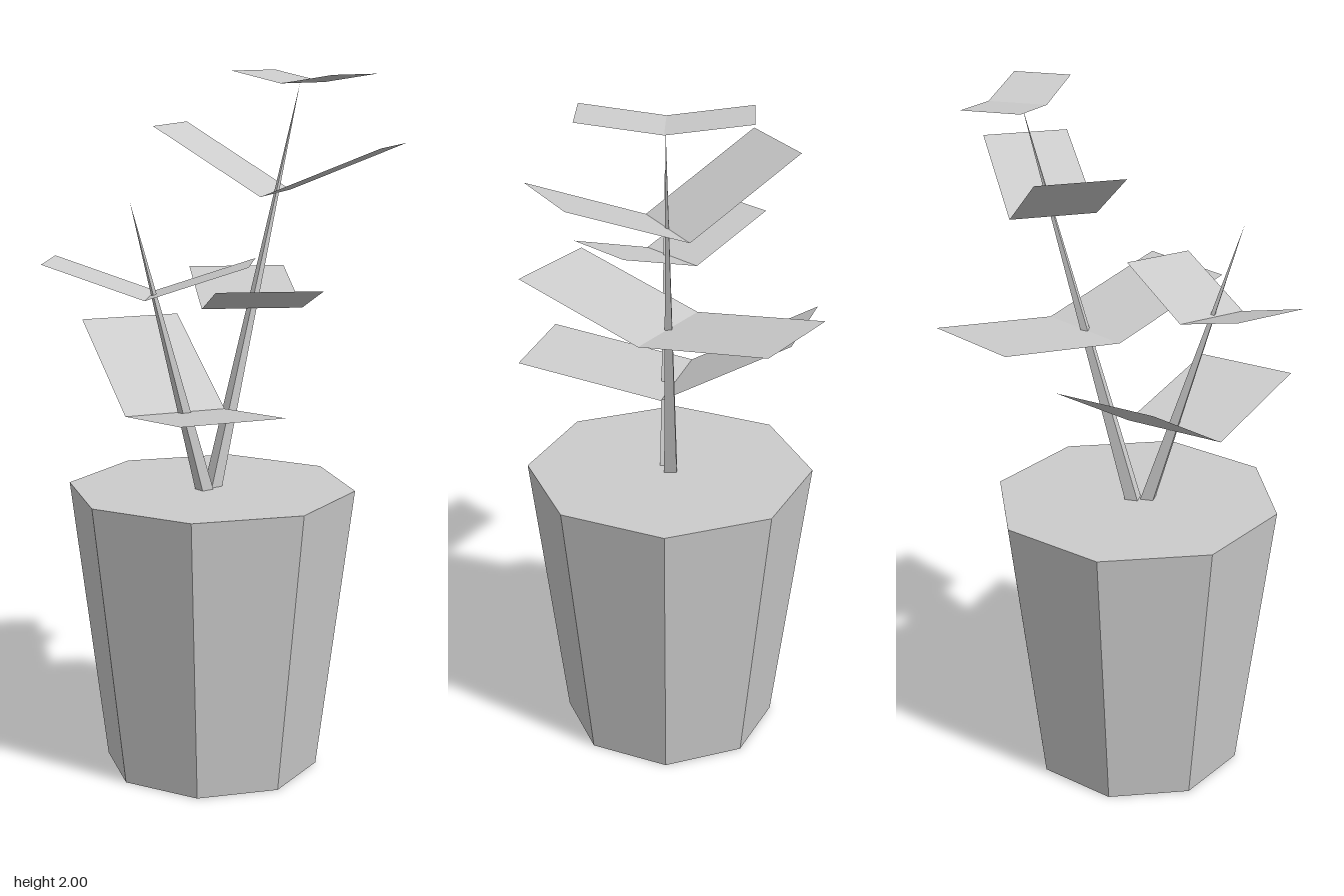
import * as THREE from 'three';

const V = (x, y, z) => new THREE.Vector3(x, y, z);

export function createModel() {
  const group = new THREE.Group();
  group.name = 'pottedPlant';
  const material = new THREE.MeshStandardMaterial({ color: 0xcccccc, flatShading: true });
  const leafMaterial = material.clone();
  leafMaterial.side = THREE.DoubleSide;

  const add = (name, geometry, mat = material) => {
    const mesh = new THREE.Mesh(geometry, mat);
    mesh.name = name;
    group.add(mesh);
    return mesh;
  };

  // Eight-sided pot, closed at the top
  add('pot', new THREE.CylinderGeometry(0.415, 0.31, 0.83, 8)).position.set(-0.01, 0.415, 0.01);

  // Slim four-sided stems tapering to a point
  const addStem = (name, base, tip) => {
    const axis = tip.clone().sub(base);
    const geometry = new THREE.ConeGeometry(0.026, axis.length(), 4, 1, false, Math.PI / 4);
    const stem = add(name, geometry);
    stem.position.copy(base).lerp(tip, 0.5);
    stem.quaternion.setFromUnitVectors(V(0, 1, 0), axis.normalize());
  };
  addStem('backStem', V(-0.013, 0.82, 0.003), V(-0.01, 1.97, -0.312));
  addStem('frontStem', V(0, 0.82, 0.04), V(0.015, 1.67, 0.305));

  // A leaf pair is one strip folded across the stem: its two halves point
  // along +x and -x before turning, and each has its own rise at the end.
  const addLeafPair = (name, center, turn, width, length, riseRight, riseLeft) => {
    const run = (rise) => Math.sqrt(length * length - rise * rise);
    const geometry = new THREE.PlaneGeometry(2, width, 2, 1).rotateX(-Math.PI / 2);
    const p = geometry.attributes.position;
    for (let i = 0; i < p.count; i++) {
      const side = Math.round(p.getX(i));
      if (side === 0) continue;
      const rise = side > 0 ? riseRight : riseLeft;
      p.setX(i, side * run(rise));
      p.setY(i, rise);
    }
    geometry.computeVertexNormals();
    const leaf = add(name, geometry, leafMaterial);
    leaf.position.copy(center);
    leaf.rotation.y = THREE.MathUtils.degToRad(turn);
  };
  addLeafPair('topLeaves', V(-0.01, 1.97, -0.322), 0, 0.165, 0.227, 0.03, 0.03);
  addLeafPair('backUpperLeaves', V(-0.012, 1.66, -0.226), 30, 0.246, 0.38, 0.145, 0.19);
  addLeafPair('backLowerLeaves', V(-0.011, 1.335, -0.14), -32, 0.291, 0.413, 0.105, 0.07);
  addLeafPair('frontUpperLeaves', V(-0.008, 1.405, 0.224), 46, 0.205, 0.298, 0.095, 0.095);
  addLeafPair('frontLowerLeaves', V(-0.026, 1.06, 0.125), -15.8, 0.3, 0.437, 0.057, 0.22);

  return group;
}
